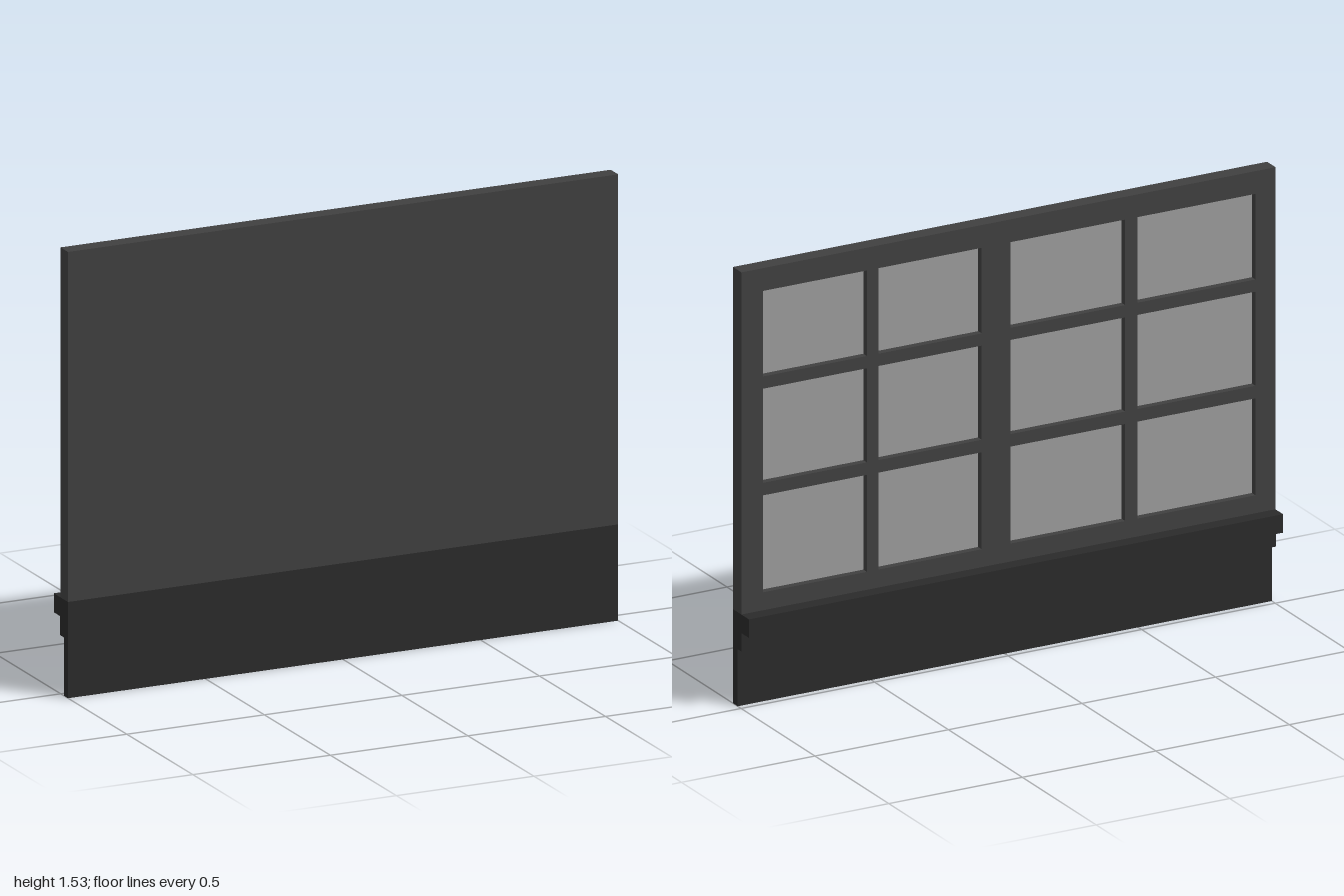
import * as THREE from 'three';

const FRONT = 0.055;   // flat front plane
const BACK = -0.002;   // back face of the window frame
const GLASS = 0.022;   // depth at which the panes sit

// Pane openings: column [x0, x1] and row [y0, y1] limits
const COLUMNS = [[0.53, 0.92], [0.10, 0.487], [-0.437, -0.007], [-0.925, -0.483]];
const ROWS = [[0.393, 0.733], [0.777, 1.107], [1.15, 1.45]];

export function createModel() {
  const model = new THREE.Group();
  model.name = 'windowWall';

  const frameMat = new THREE.MeshStandardMaterial({ color: 0x404040 });
  const trimMat = new THREE.MeshStandardMaterial({ color: 0x2a2a2a });
  const glassMat = new THREE.MeshStandardMaterial({ color: 0x9c9c9c });

  // Full-width box given by its y and z limits
  const slab = (name, y0, y1, z0, z1, mat) => {
    const mesh = new THREE.Mesh(new THREE.BoxGeometry(2, y1 - y0, z1 - z0), mat);
    mesh.position.set(0, (y0 + y1) / 2, (z0 + z1) / 2);
    mesh.name = name;
    model.add(mesh);
  };

  // Wall base, moulding and projecting sill
  slab('basePanel', 0, 0.2, 0.023, FRONT, trimMat);
  slab('moulding', 0.2, 0.265, -0.004, FRONT, trimMat);
  slab('sill', 0.265, 0.33, -0.053, FRONT, trimMat);

  // Solid backing that closes the front
  slab('frontPanel', 0.33, 1.53, GLASS + 0.002, FRONT, frameMat);

  // Window frame with glazing bars: a rectangle with twelve openings
  const rect = (path, x0, x1, y0, y1) =>
    path.moveTo(x0, y0).lineTo(x1, y0).lineTo(x1, y1).lineTo(x0, y1).closePath();
  const outline = rect(new THREE.Shape(), -1, 1, 0.33, 1.53);
  const panes = new THREE.Group();
  panes.name = 'panes';
  for (const [x0, x1] of COLUMNS) {
    for (const [y0, y1] of ROWS) {
      outline.holes.push(rect(new THREE.Path(), x0, x1, y0, y1));
      // Pane facing the back
      const pane = new THREE.Mesh(new THREE.PlaneGeometry(x1 - x0, y1 - y0), glassMat);
      pane.rotation.y = Math.PI;
      pane.position.set((x0 + x1) / 2, (y0 + y1) / 2, GLASS);
      pane.name = 'pane';
      panes.add(pane);
    }
  }
  const frame = new THREE.Mesh(
    new THREE.ExtrudeGeometry(outline, { depth: GLASS + 0.002 - BACK, bevelEnabled: false }),
    frameMat
  );
  frame.position.z = BACK;
  frame.name = 'windowFrame';
  model.add(frame, panes);

  return model;
}
